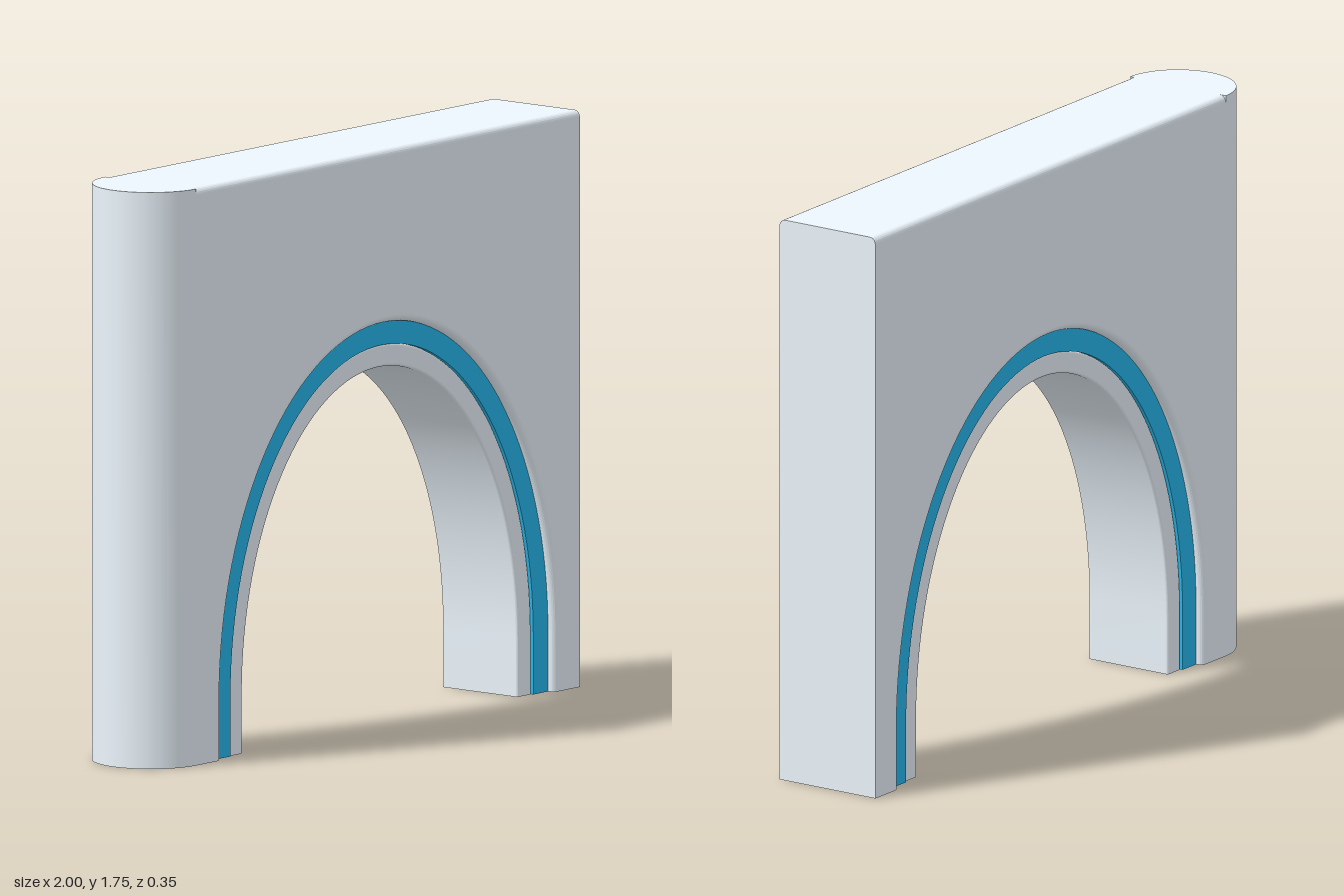
import * as THREE from 'three';
import { toCreasedNormals } from 'three/addons/utils/BufferGeometryUtils.js';

const H = 1.75, HALF = 0.175, END_X = -0.825;   // wall height, half depth, start of round end
const ARCH_X = 0.087, SPRING = 0.18;            // arch centre and spring line
const CREASE = 0.09;                            // keeps flat faces flat, smooths the curves

// Stilted half-ellipse, running from the left foot over the crown to the right foot
function archPoints(a, top, n = 64) {
  const pts = [new THREE.Vector2(ARCH_X - a, 0)];
  for (let i = 0; i <= n; i++) {
    const t = Math.PI * (1 - i / n);
    pts.push(new THREE.Vector2(ARCH_X + a * Math.cos(t), SPRING + (top - SPRING) * Math.sin(t)));
  }
  pts.push(new THREE.Vector2(ARCH_X + a, 0));
  return pts;
}

// Extrudes about z = 0 with softened edges, then squares off the feet and wall ends
function slab(points, halfDepth, bevel) {
  const geo = new THREE.ExtrudeGeometry(new THREE.Shape(points), {
    depth: 2 * (halfDepth - bevel), bevelEnabled: bevel > 0, bevelSize: bevel,
    bevelThickness: bevel, bevelOffset: -bevel, bevelSegments: 6,
  });
  geo.translate(0, 0, -(halfDepth - bevel));
  const p = geo.attributes.position;
  for (let i = 0; i < p.count; i++) {
    if (p.getY(i) < 0.03) p.setY(i, 0);
    if (p.getX(i) > 0.97) p.setX(i, 1);
    if (p.getX(i) < -0.79) p.setX(i, END_X);
  }
  return toCreasedNormals(geo, CREASE);
}

const band = (inner, outer) => [...archPoints(...outer), ...archPoints(...inner).reverse()];

export function createModel() {
  const group = new THREE.Group();
  const pale = new THREE.MeshStandardMaterial({ color: 0xecf6fd });
  const blue = new THREE.MeshStandardMaterial({ color: 0x27baef });
  const add = (name, geo, mat) => {
    const mesh = new THREE.Mesh(geo, mat);
    mesh.name = name;
    group.add(mesh);
  };

  // Wall with the arched opening
  const outline = [
    new THREE.Vector2(END_X, 0), ...archPoints(0.79, 1.225),
    new THREE.Vector2(1, 0), new THREE.Vector2(1, H), new THREE.Vector2(END_X, H),
  ];
  add('wall', slab(outline, HALF, 0.02), pale);

  // Half-round end of the wall
  const halfDisc = new THREE.Shape();
  halfDisc.absarc(0, 0, HALF, Math.PI / 2, Math.PI * 1.5, false);
  const endGeo = new THREE.ExtrudeGeometry(halfDisc, { depth: H, bevelEnabled: false, curveSegments: 32 });
  endGeo.rotateX(-Math.PI / 2).translate(END_X, 0, 0);
  add('roundedEnd', toCreasedNormals(endGeo, CREASE), pale);

  // Coloured trim band and the inner lining, both set back from the wall faces
  add('archTrim', slab(band([0.72, 1.155], [0.79, 1.225]), 0.152, 0), blue);
  add('archLining', slab(band([0.653, 1.087], [0.72, 1.155]), 0.145, 0.008), pale);

  return group;
}
